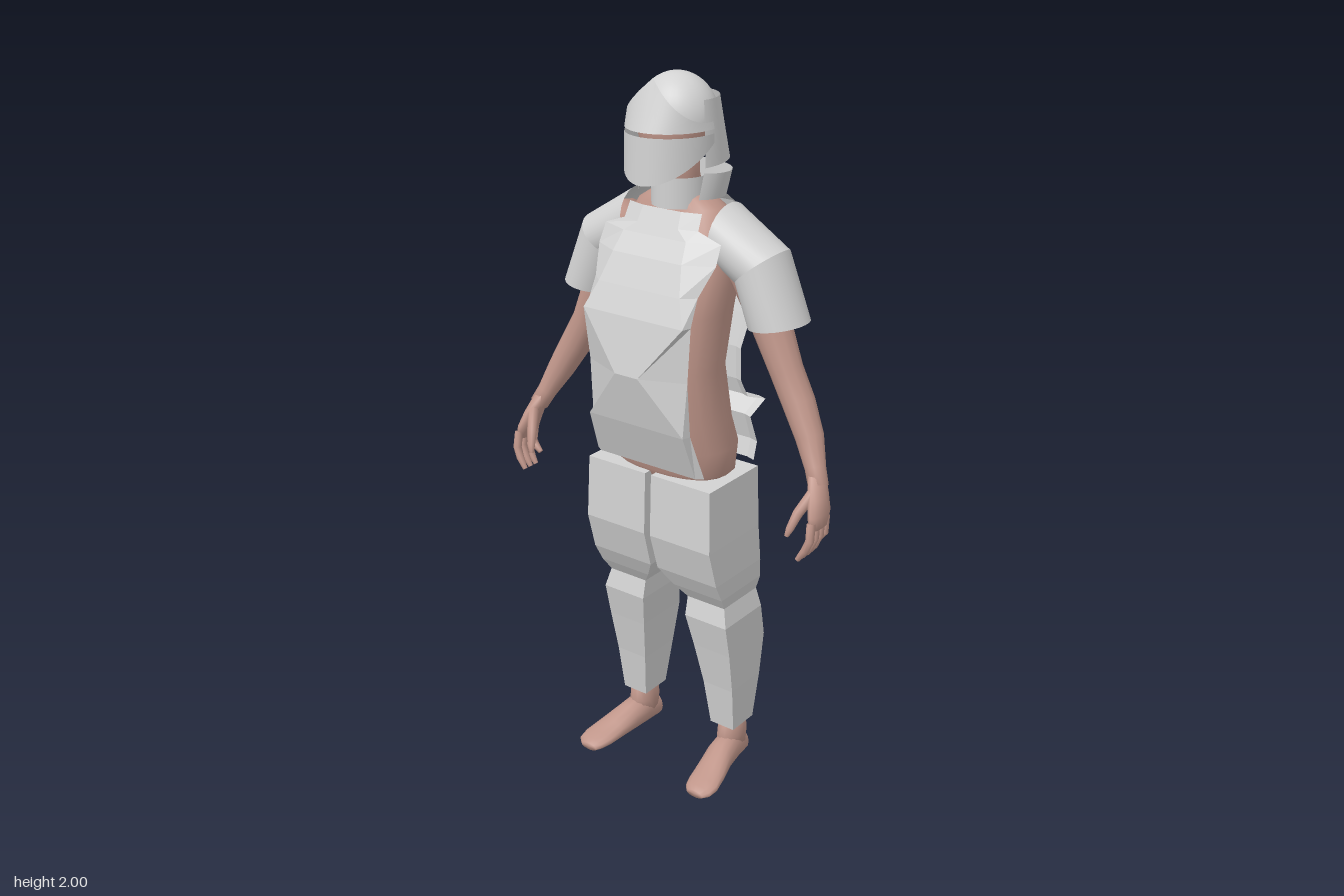
import * as THREE from 'three';
import { ParametricGeometry } from 'three/addons/geometries/ParametricGeometry.js';

const steel = new THREE.MeshStandardMaterial({ color: 0xd2d2d2, side: THREE.DoubleSide });
steel.name = 'steel';
const skin = new THREE.MeshStandardMaterial({ color: 0xc0968a });
skin.name = 'skin';

const V = (x, y, z) => new THREE.Vector3(x, y, z);

// Joins rings of points into a skin; closed rings wrap round, caps fill both ends.
function loft(rings, { closed = true, caps = true, flat = false } = {}) {
  const n = rings[0].length, pts = rings.flat(), index = [];
  for (let r = 0; r < rings.length - 1; r++) {
    for (let i = 0; i < (closed ? n : n - 1); i++) {
      const a = r * n + i, b = r * n + (i + 1) % n;
      index.push(a, b, a + n, b, b + n, a + n);
    }
  }
  if (caps) {
    [0, rings.length - 1].forEach((r, end) => {
      const c = pts.length, mid = V(0, 0, 0);
      rings[r].forEach(p => mid.addScaledVector(p, 1 / n));
      pts.push(mid);
      for (let i = 0; i < n; i++) {
        const a = r * n + i, b = r * n + (i + 1) % n;
        end ? index.push(c, a, b) : index.push(c, b, a);
      }
    });
  }
  // Turn the faces outward, whichever way the rings run
  const mid = V(0, 0, 0);
  pts.forEach(p => mid.addScaledVector(p, 1 / pts.length));
  let volume = 0;
  for (let i = 0; i < index.length; i += 3) {
    const [a, b, c] = [0, 1, 2].map(k => pts[index[i + k]].clone().sub(mid));
    volume += a.dot(b.cross(c));
  }
  if (volume < 0) index.reverse();
  let g = new THREE.BufferGeometry().setFromPoints(pts);
  g.setIndex(index);
  if (flat) g = g.toNonIndexed();
  g.computeVertexNormals();
  return g;
}

const circle = (n, fn) => Array.from({ length: n }, (_, i) => {
  const t = i / n * Math.PI * 2;
  return fn(Math.cos(t), Math.sin(t));
});

// Round limb through [x, y, z, radius] stations, s mirrors it
function limb(stations, s = 1, n = 12) {
  const p = stations.map(a => V(a[0] * s, a[1], a[2]));
  return loft(stations.map((a, i) => {
    const t = p[Math.min(i + 1, p.length - 1)].clone().sub(p[Math.max(i - 1, 0)]).normalize();
    const side = V(0, 0, 1).cross(t).normalize(), up = t.clone().cross(side);
    return circle(n, (c, d) => p[i].clone().addScaledVector(side, c * a[3]).addScaledVector(up, d * a[3]));
  }));
}

// Folded sheet from rows [y, edge half width, edge z, crease half width, crease z]
const plate = rows => loft(
  rows.map(([y, e, ez, c, cz]) => [V(-e, y, ez), V(-c, y, cz), V(c, y, cz), V(e, y, ez)]),
  { closed: false, caps: false, flat: true });

// Curved shell about the y axis: angles in degrees from the front, row(angle, v) gives y, rx, rz
function shell(from, to, zc, row) {
  return new ParametricGeometry((u, v, out) => {
    const t = THREE.MathUtils.degToRad(from + (to - from) * u);
    const [y, rx, rz] = row(t, v);
    out.set(Math.sin(t) * rx, y, zc + Math.cos(t) * rz);
  }, 32, 4);
}

export function createModel() {
  const model = new THREE.Group();
  model.name = 'armouredFigure';
  const add = (name, geometry, material) => {
    const m = new THREE.Mesh(geometry, material);
    m.name = name;
    model.add(m);
    return m;
  };
  const lerp = THREE.MathUtils.lerp;

  // Torso: [y, half width, front z, back z]
  add('torso', loft([
    [0.91, 0.14, 0.06, -0.1], [0.95, 0.182, 0.085, -0.128], [1.02, 0.185, 0.1, -0.142], [1.1, 0.178, 0.125, -0.118],
    [1.25, 0.165, 0.138, -0.1], [1.4, 0.17, 0.128, -0.135], [1.5, 0.175, 0.095, -0.155],
    [1.6, 0.165, 0.04, -0.145], [1.66, 0.13, 0.01, -0.12], [1.7, 0.065, 0.005, -0.1],
  ].map(([y, w, f, b]) => circle(24, (c, d) => {
    const k = a => Math.sign(a) * Math.abs(a) ** 0.85;
    return V(k(c) * w, y, (f + b) / 2 + k(d) * (f - b) / 2);
  }))), skin);

  // Neck and head
  add('neck', limb([[0, 1.66, -0.05, 0.062], [0, 1.74, -0.035, 0.055], [0, 1.83, -0.025, 0.06]]), skin);
  const head = add('head', new THREE.SphereGeometry(0.09, 20, 14), skin);
  head.scale.set(1, 1.15, 1.08);
  head.position.set(0, 1.865, -0.015);

  // Breastplate and backplate
  add('breastplate', plate([
    [1.66, 0.115, 0.02, 0.06, 0.035], [1.62, 0.118, 0.04, 0.065, 0.055], [1.595, 0.185, 0.035, 0.1, 0.068],
    [1.545, 0.188, 0.06, 0.11, 0.1], [1.47, 0.165, 0.105, 0.13, 0.135], [1.4, 0.168, 0.138, 0.16, 0.163],
    [1.25, 0.16, 0.14, 0.037, 0.19], [1.1, 0.162, 0.13, 0.155, 0.153], [0.97, 0.18, 0.09, 0.16, 0.103],
  ]), steel);
  add('backplate', plate([
    [1.7, 0.09, -0.105], [1.66, 0.115, -0.14], [1.57, 0.188, -0.172], [1.51, 0.195, -0.178], [1.45, 0.188, -0.17],
    [1.36, 0.165, -0.145], [1.27, 0.15, -0.122], [1.18, 0.155, -0.12], [1.135, 0.17, -0.132],
    [1.115, 0.188, -0.19], [1.075, 0.175, -0.138], [1.0, 0.187, -0.155], [0.95, 0.187, -0.14],
  ].map(([y, w, z]) => [y, w, z + 0.01, w * 0.85, z])), steel);

  // Collar
  add('collarFront', shell(-100, 100, -0.045, (t, v) => [lerp(1.66, 1.74, v), 0.074, 0.08]), steel);
  add('collarBack', shell(50, 310, -0.05, (t, v) => [lerp(1.69, 1.76, v), lerp(0.125, 0.145, v), 0.09]), steel);

  // Helmet: dome, visor, pointed brow, neck guard
  const dome = add('helmetDome', new THREE.SphereGeometry(0.1, 32, 12, 0, Math.PI * 2, 0, Math.PI / 2), steel);
  dome.scale.set(1.1, 1.2, 1.02);
  dome.position.set(0, 1.878, -0.03);
  add('visor', shell(-95, 95, -0.015, (t, v) =>
    [lerp(1.735 + 0.09 * (1 - Math.cos(t)), 1.856, v), 0.118, lerp(0.14, 0.135, v)]), steel);
  add('brow', shell(-95, 95, -0.015, (t, v) => {
    const peak = Math.max(0, 1 - Math.abs(Math.sin(t)));
    return [lerp(1.867, 1.885 + 0.108 * peak, v), 0.118 - 0.004 * v, 0.135 - 0.05 * v * peak];
  }), steel);
  add('neckGuard', shell(75, 285, -0.03, (t, v) =>
    [lerp(1.94, 1.775, v), lerp(0.106, 0.122, v), lerp(0.108, 0.155, v)]), steel);

  for (const [side, s] of [['left', 1], ['right', -1]]) {
    // Sleeve: rings given by their outer and inner [x, y]
    const cuffs = [[0.15, 1.68, 0.13, 1.52], [0.31, 1.58, 0.19, 1.48], [0.382, 1.4, 0.228, 1.375]]
      .map(([ox, oy, ix, iy]) => circle(24, (c, d) => V(
        s * ((ox + ix) / 2 + c * (ox - ix) / 2), (oy + iy) / 2 + c * (oy - iy) / 2, -0.057 + d * 0.088)));
    add(side + 'ShoulderPlate', loft([cuffs[0], cuffs[1]], { caps: false }), steel);
    add(side + 'ArmPlate', loft([cuffs[1], cuffs[2]], { caps: false }), steel);

    // Arm and hand
    add(side + 'Arm', limb([
      [0.15, 1.6, -0.06, 0.06], [0.22, 1.5, -0.06, 0.06], [0.275, 1.39, -0.06, 0.054], [0.33, 1.27, -0.057, 0.045],
      [0.375, 1.19, -0.052, 0.044], [0.42, 1.11, -0.038, 0.038], [0.455, 1.04, -0.015, 0.028], [0.475, 1.0, 0, 0.027],
    ], s), skin);
    add(side + 'Palm', loft([
      [0.465, 1.03, -0.007, 0.022, 0.026], [0.483, 0.98, 0.012, 0.023, 0.038],
      [0.495, 0.94, 0.024, 0.02, 0.045], [0.498, 0.905, 0.032, 0.014, 0.042],
    ].map(([x, y, z, rx, rz]) => circle(12, (c, d) => V(s * (x + c * rx), y, z + d * rz)))), skin);
    for (let i = 0; i < 4; i++) {
      const z = -0.003 + i * 0.023, drop = i === 0 ? 0.03 : 0;
      add(side + 'Finger' + (i + 1), limb([
        [0.498, 0.925, z, 0.012], [0.5, 0.88, z + 0.007, 0.012],
        [0.488, 0.85 + drop / 2, z + 0.01, 0.011], [0.468, 0.82 + drop, z + 0.012, 0.007],
      ], s, 8), skin);
    }
    add(side + 'Thumb', limb([[0.475, 0.99, 0.025, 0.016], [0.453, 0.94, 0.06, 0.014],
      [0.442, 0.9, 0.078, 0.011], [0.436, 0.88, 0.084, 0.006]], s, 8), skin);

    // Leg armour: [y, inner x, outer x, front z, back z]
    add(side + 'LegArmour', loft([
      [0.94, 0.01, 0.205, 0.1, -0.125], [0.76, 0.01, 0.21, 0.106, -0.128], [0.65, 0.012, 0.212, 0.075, -0.138],
      [0.595, 0.045, 0.21, 0.045, -0.143], [0.555, 0.075, 0.2, 0.018, -0.138], [0.5, 0.075, 0.214, 0.03, -0.145],
      [0.4, 0.09, 0.213, 0.008, -0.165], [0.27, 0.107, 0.207, -0.018, -0.155], [0.13, 0.12, 0.2, -0.037, -0.135],
    ].map(([y, i, o, f, b]) => [V(s * i, y, f), V(s * o, y, f), V(s * o, y, b), V(s * i, y, b)]), { flat: true }), steel);

    // Foot: [z, centre x, half width, height], and ankle
    add(side + 'Foot', loft([
      [-0.148, 0.16, 0.018, 0.05], [-0.13, 0.16, 0.033, 0.075], [-0.07, 0.165, 0.04, 0.1], [-0.01, 0.172, 0.043, 0.085],
      [0.05, 0.185, 0.048, 0.058], [0.1, 0.194, 0.05, 0.04], [0.13, 0.197, 0.043, 0.032], [0.145, 0.195, 0.028, 0.022],
    ].map(([z, x, w, h]) => circle(14, (c, d) => V(s * (x + c * w), h / 2 + d * h / 2, z)))), skin);
    add(side + 'Ankle', loft([[0.05, 0.036, 0.052], [0.09, 0.039, 0.052], [0.15, 0.036, 0.046]]
      .map(([y, rx, rz]) => circle(14, (c, d) => V(s * (0.162 + c * rx), y, -0.086 + d * rz)))), skin);
  }
  return model;
}
